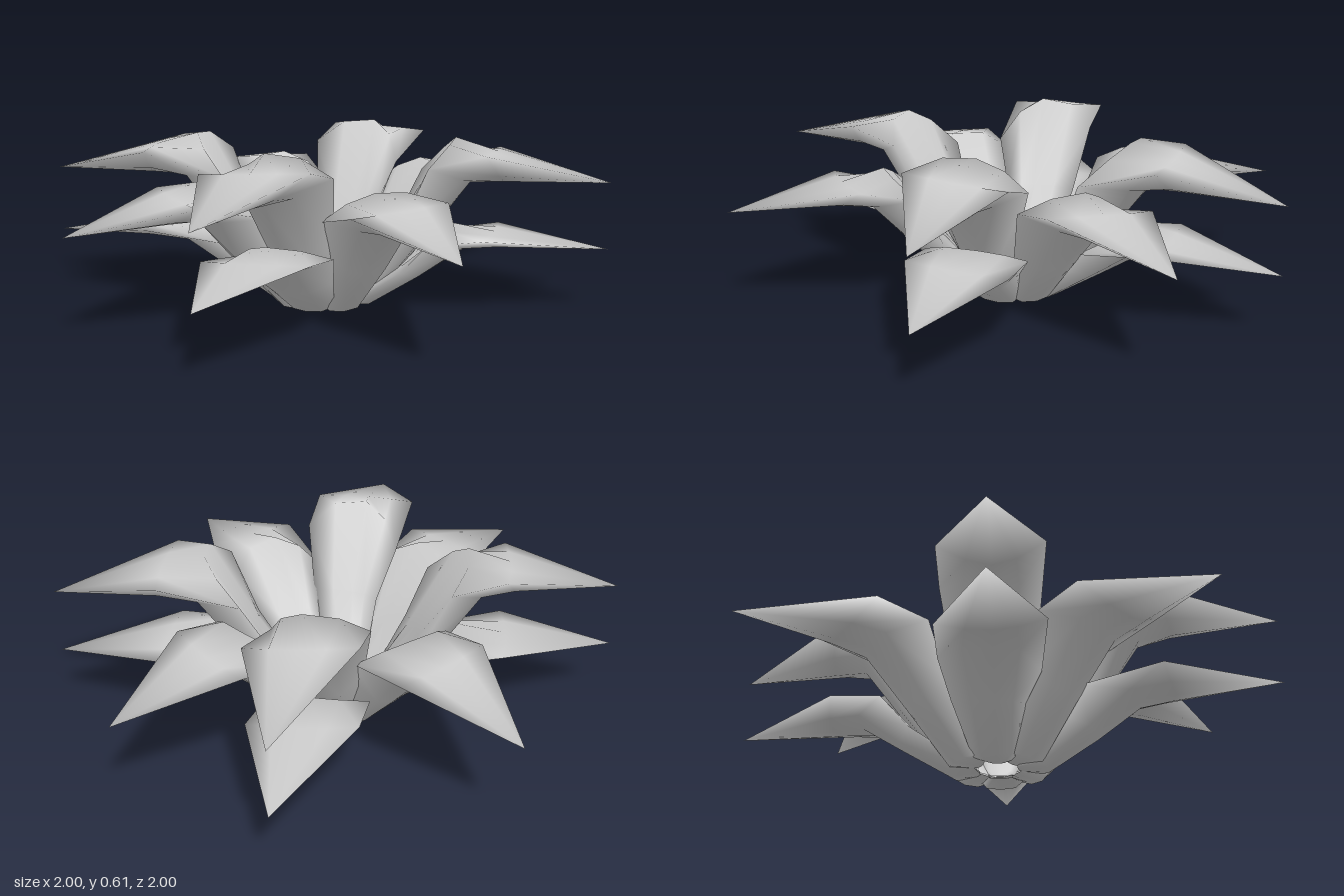
import * as THREE from 'three';

// Closed cross-sections of a thick petal from base to cap, as [outward, sideways, height]:
// five points over the inner face, then three back along the bulging outer face
const SECTIONS = [
  [[0.08, -0.045, 0.02], [0.073, -0.02, 0.015], [0.07, 0, 0.015], [0.073, 0.02, 0.015], [0.08, 0.04, 0.02],
    [0.073, 0.02, 0.01], [0.07, 0, 0.01], [0.073, -0.02, 0.01]],
  [[0.12, -0.085, 0.02], [0.1, -0.04, 0.045], [0.095, 0, 0.05], [0.1, 0.04, 0.045], [0.11, 0.07, 0.02],
    [0.17, 0.05, 0.005], [0.18, 0, 0], [0.17, -0.055, 0.005]],
  [[0.29, -0.15, 0.3], [0.285, -0.075, 0.31], [0.28, 0, 0.31], [0.27, 0.05, 0.31], [0.255, 0.1, 0.3],
    [0.34, 0.06, 0.24], [0.355, 0, 0.23], [0.345, -0.08, 0.24]],
  [[0.385, -0.19, 0.525], [0.45, -0.1, 0.597], [0.465, 0.02, 0.608], [0.42, 0.1, 0.56], [0.336, 0.156, 0.468],
    [0.49, 0.085, 0.46], [0.52, 0, 0.452], [0.5, -0.1, 0.475]],
  [[0.577, -0.189, 0.573], [0.6, -0.09, 0.57], [0.615, 0, 0.565], [0.62, 0.09, 0.56], [0.62, 0.177, 0.555],
    [0.63, 0.08, 0.485], [0.64, 0, 0.457], [0.62, -0.085, 0.49]],
];
const TIP = [1.006, 0, 0.463];
const LOOP = 8;

const material = new THREE.MeshStandardMaterial({ color: 0xcccccc });

// Petal pointing along +x; side (1 or -1) mirrors it
function petalGeometry(side, heightScale) {
  const positions = [];
  const index = [];
  for (const [out, across, height] of [...SECTIONS.flat(), TIP]) {
    positions.push(out, height * heightScale, across * side);
  }
  const triangle = (a, b, c) => (side > 0 ? index.push(a, c, b) : index.push(a, b, c));
  const tip = SECTIONS.length * LOOP;
  for (let r = 0; r < SECTIONS.length; r++) {
    for (let c = 0; c < LOOP; c++) {
      const a = r * LOOP + c;
      const next = r * LOOP + ((c + 1) % LOOP);
      if (r === SECTIONS.length - 1) {
        triangle(a, tip, next);
      } else {
        triangle(a, a + LOOP, next);
        triangle(next, a + LOOP, next + LOOP);
      }
    }
  }
  const geometry = new THREE.BufferGeometry();
  geometry.setAttribute('position', new THREE.Float32BufferAttribute(positions, 3));
  geometry.setIndex(index);
  geometry.computeVertexNormals();
  return geometry;
}

// Ring of four petals, alternately mirrored and leaning towards each other
function petalRing(name, startAngle, firstSide, heightScale) {
  const ring = new THREE.Group();
  ring.name = name;
  for (let k = 0; k < 4; k++) {
    const side = k % 2 ? -firstSide : firstSide;
    const petal = new THREE.Mesh(petalGeometry(side, heightScale), material);
    petal.name = 'petal';
    petal.rotation.y = THREE.MathUtils.degToRad(startAngle + 90 * k - 6.4 * side);
    ring.add(petal);
  }
  return ring;
}

export function createModel() {
  const flower = new THREE.Group();
  flower.name = 'flower';
  flower.add(
    petalRing('lowerPetals', 45, 1, 0.49),
    petalRing('middlePetals', 0, -1, 0.79),
    petalRing('upperPetals', 45, 1, 1),
  );
  return flower;
}
